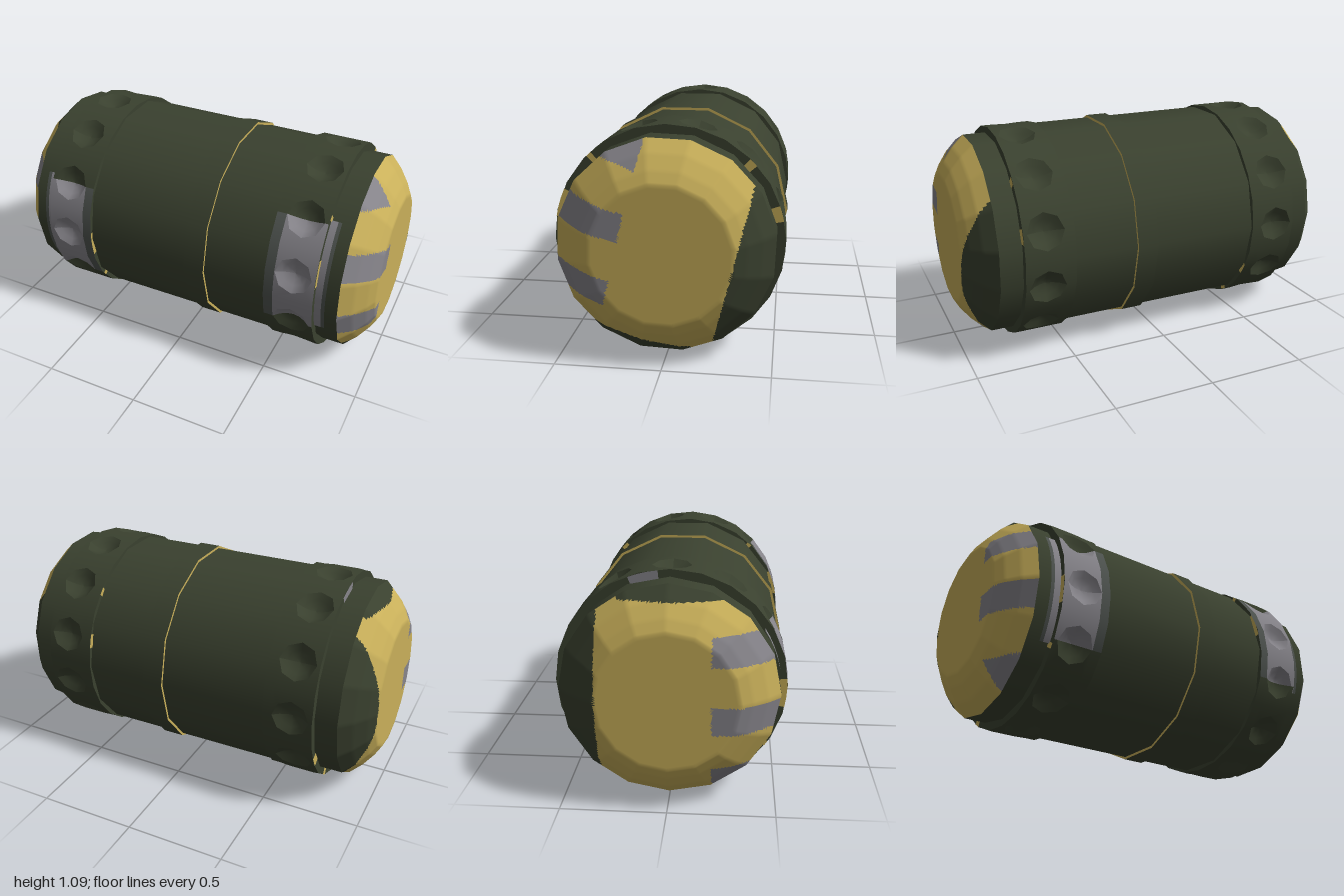
import * as THREE from 'three';

const mat = (name, color, extra = {}) => Object.assign(new THREE.MeshStandardMaterial({ color, ...extra }), { name });
const rad = THREE.MathUtils.degToRad;

export function createModel() {
  const green = mat('dark green paint', 0x3a412f);
  const yellow = mat('yellow paint', 0xc9b05a);
  const grey = mat('bare metal', 0x87858b);
  const darkGrey = mat('worn edge', 0x4f5450);

  const model = new THREE.Group();
  model.name = 'canister';
  model.position.y = 0.55;

  const add = (parent, name, geo, material) => {
    const m = new THREE.Mesh(geo, material);
    m.name = name;
    parent.add(m);
    return m;
  };

  // open tube lying along x
  const tube = (x0, x1, r, sides) => {
    const g = new THREE.CylinderGeometry(r, r, x1 - x0, sides, 1, true);
    g.rotateZ(-Math.PI / 2);
    return g.translate((x0 + x1) / 2, 0, 0);
  };

  // flat ring sector facing +x or -x; angles run from the front (+z) up
  const annulus = (x, dir, r0, r1, sides, a0 = 0, a1 = 360) => {
    const start = dir > 0 ? 180 - a1 : a0;
    const g = new THREE.RingGeometry(r0, r1, sides, 1, rad(start), rad(a1 - a0));
    g.rotateY(dir * Math.PI / 2);
    return g.translate(x, 0, 0);
  };

  // wrap a flat (x, arc, height) geometry round the x axis
  const bend = (g, R, angle = 0) => {
    const p = g.attributes.position;
    for (let i = 0; i < p.count; i++) {
      const a = p.getY(i) / R + angle, r = R + p.getZ(i);
      p.setXYZ(i, p.getX(i), r * Math.sin(a), r * Math.cos(a));
    }
    g.computeVertexNormals();
    return g;
  };
  const radialNormals = (g) => {
    const p = g.attributes.position, n = g.attributes.normal;
    for (let i = 0; i < p.count; i++) {
      const l = Math.hypot(p.getY(i), p.getZ(i));
      n.setXYZ(i, 0, p.getY(i) / l, p.getZ(i) / l);
    }
    return g;
  };

  // rounded end cap, painted by its position across the end
  const capGeometry = () => {
    const N = 224, sides = 16, rows = [];
    const profile = [[0.86, 0.51], [0.92, 0.452], [0.97, 0.385], [1, 0.33], [1, 0]];
    const steps = [7, 7, 6, 20];
    steps.forEach((n, k) => {
      for (let i = 0; i < n; i++) {
        const t = i / n, [a, b] = [profile[k], profile[k + 1]];
        rows.push([a[0] + (b[0] - a[0]) * t, a[1] + (b[1] - a[1]) * t]);
      }
    });
    rows.push([1, 0]);
    const pos = [], lists = [[], [], []], step = 2 * Math.PI / sides;
    for (const [x, r] of rows) {
      for (let j = 0; j < N; j++) {
        const a = j / N * 2 * Math.PI;
        const q = r * Math.cos(step / 2) / Math.cos(a % step - step / 2);
        pos.push(x, q * Math.sin(a), q * Math.cos(a));
      }
    }
    const marks = [[-0.305, -0.173], [0.013, 0.147], [0.334, 0.46]];
    const paint = (y, z) => {
      if (z < -0.32 || y < -0.44) return 0;
      return z > 0.2 && marks.some(([lo, hi]) => y > lo && y < hi) ? 2 : 1;
    };
    const tri = (...v) => {
      const mean = (k) => v.reduce((s, i) => s + pos[i * 3 + k], 0) / 3;
      lists[paint(mean(1), mean(2))].push(...v);
    };
    for (let i = 0; i < rows.length - 1; i++) {
      for (let j = 0; j < N; j++) {
        const a = i * N + j, b = i * N + (j + 1) % N;
        tri(b, a, a + N);
        if (i < rows.length - 2) tri(b, a + N, b + N);
      }
    }
    const g = new THREE.BufferGeometry();
    g.setAttribute('position', new THREE.Float32BufferAttribute(pos, 3));
    g.setIndex(lists.flat());
    let start = 0;
    lists.forEach((l, k) => { g.addGroup(start, l.length, k); start += l.length; });
    g.computeVertexNormals();
    return g;
  };

  // ring of twelve dimples, made of half panels so the worn area can stop mid-dimple
  const R = 0.545, X0 = 0.495, X1 = 0.748, XS = 0.543, C = 0.638, D = 0.093;
  const dimpleRing = (end) => {
    const ring = new THREE.Group();
    ring.name = 'dimpleRing';
    end.add(ring);
    const arc = rad(15) * R;
    for (let k = 0; k < 12; k++) {
      for (const s of [1, -1]) {
        const angle = rad(30 * k);
        const mid = (30 * k + 7.5 * s + 540) % 360 - 180;
        const worn = Math.abs(mid) < 30;
        const face = worn ? grey : green;
        const pts = [[XS, 0], [XS, arc * s], [X1, arc * s], [X1, 0]];
        for (let i = 0; i <= 4; i++) {
          const t = i * Math.PI / 4;
          pts.push([C + D * Math.cos(t), s * D * Math.sin(t)]);
        }
        const shape = new THREE.Shape(pts.map(([x, y]) => new THREE.Vector2(x, y)));
        add(ring, 'ringPanel', radialNormals(bend(new THREE.ShapeGeometry(shape), R, angle)), face);

        const strip = new THREE.PlaneGeometry(XS - X0, arc).translate((X0 + XS) / 2, s * arc / 2, 0);
        add(ring, 'ringEdge', radialNormals(bend(strip, R, angle)), worn ? darkGrey : green);

        const bowl = new THREE.RingGeometry(0, D, 4, 3, s > 0 ? 0 : Math.PI, Math.PI);
        const p = bowl.attributes.position;
        for (let i = 0; i < p.count; i++) {
          const q = Math.hypot(p.getX(i), p.getY(i)) / D;
          p.setZ(i, -0.042 * (1 - q * q));
        }
        add(ring, 'dimple', bend(bowl.translate(C, 0, 0), R, angle), face);
      }
    }
    add(ring, 'ringOuterSide', annulus(X1, 1, 0.49, R, 24), green);
    add(ring, 'ringInnerSide', annulus(X0, -1, 0.49, R, 24), green);
    // paint chips on the ring sides
    for (const [a0, a1] of [[-3.5, 11.5], [32, 35], [120, 124.5], [147, 155]]) {
      add(ring, 'yellowChip', annulus(X1 + 0.002, 1, 0.49, R - 0.002, 2, a0, a1), yellow);
      add(ring, 'yellowChip', annulus(X0 - 0.002, -1, 0.49, R - 0.002, 2, a0, a1), yellow);
    }
    add(ring, 'metalChip', annulus(X1 + 0.002, 1, 0.49, R - 0.004, 2, -111, -96), grey);
  };

  // both ends share one design; the right one is turned end for end
  const cap = capGeometry();
  const makeEnd = (name) => {
    const end = new THREE.Group();
    end.name = name;
    model.add(end);
    add(end, 'neck', tube(0.7, 0.86, 0.51, 16), green);
    add(end, 'endCap', cap, [green, yellow, grey]);
    dimpleRing(end);
    // worn paint beside the ring
    for (const [x0, x1, m] of [[0.745, 0.782, grey], [0.782, 0.8, darkGrey]]) {
      const g = new THREE.PlaneGeometry(x1 - x0, rad(66) * 0.513, 1, 12).translate((x0 + x1) / 2, 0, 0);
      add(end, 'wornPatch', radialNormals(bend(g, 0.513)), m);
    }
    return end;
  };
  makeEnd('leftEnd').rotation.x = -rad(13.5);
  makeEnd('rightEnd').rotation.z = Math.PI;

  // barrel and centre band
  add(model, 'barrel', tube(-0.5, 0.5, 0.533, 14), green);
  add(model, 'centreBand', tube(0.06, 0.17, 0.546, 14), green);
  add(model, 'bandSide', annulus(0.17, 1, 0.51, 0.546, 14), yellow);
  add(model, 'bandSide', annulus(0.06, -1, 0.51, 0.546, 14), yellow);

  const root = new THREE.Group();
  root.add(model);
  return root;
}
